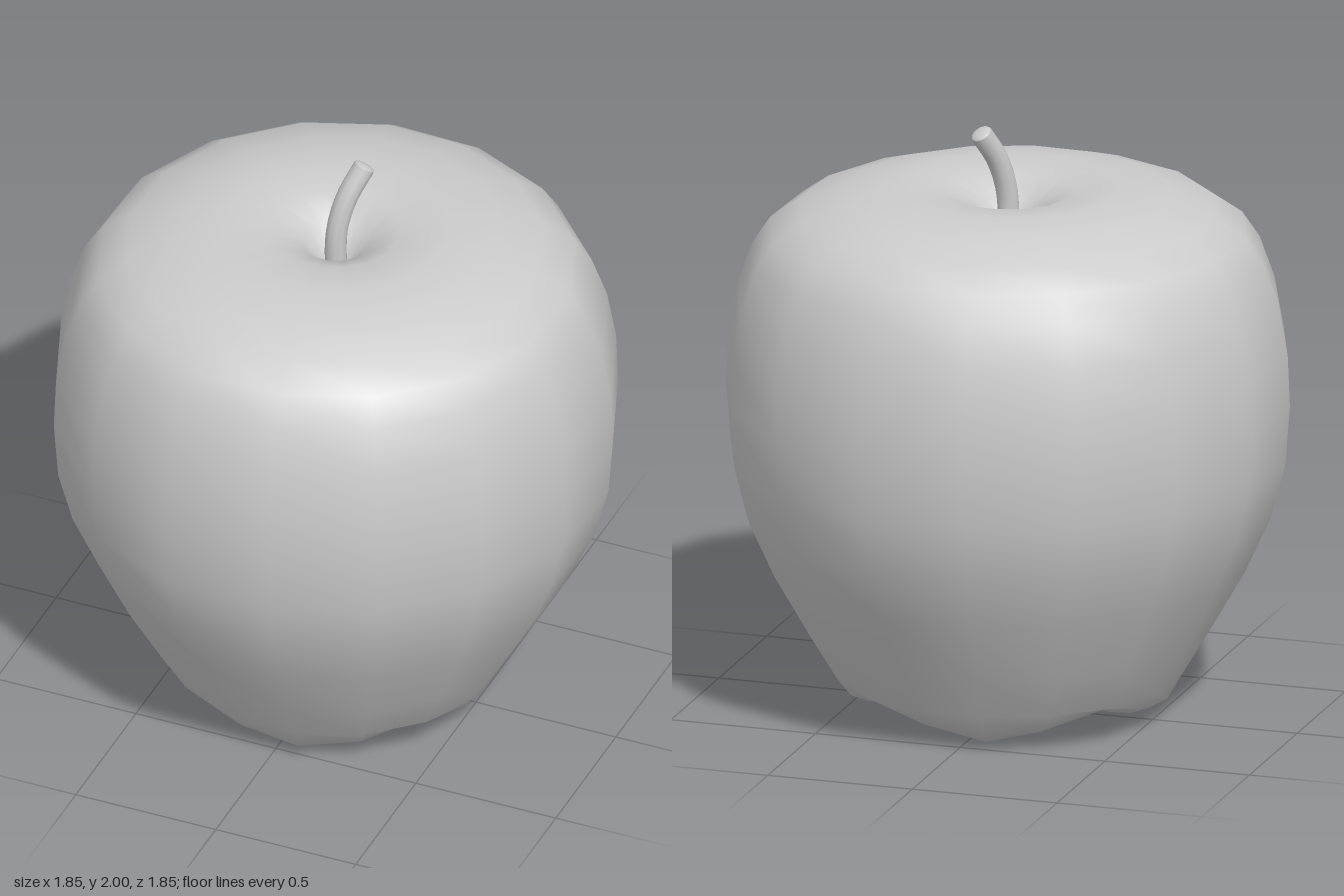
import * as THREE from 'three';
import { mergeVertices } from 'three/addons/utils/BufferGeometryUtils.js';

const material = () => new THREE.MeshStandardMaterial({ color: 0xcccccc });
const SIDES = 16;
const TURN = THREE.MathUtils.degToRad(9.3);

// Profile from the hollow under the fruit to the dimple on top: radius, height,
// and for the underside the height the row takes in the four valleys.
const PROFILE = [
  [0, 0.2, 0.2], [0.12, 0.13, 0.18], [0.22, 0.06, 0.15], [0.31, 0.02, 0.13],
  [0.39, 0, 0.115], [0.47, 0.015, 0.11], [0.53, 0.05, 0.115], [0.575, 0.13],
  [0.665, 0.28], [0.79, 0.5], [0.875, 0.69], [0.922, 0.87], [0.937, 1.07],
  [0.93, 1.24], [0.9, 1.41], [0.85, 1.55], [0.79, 1.64], [0.69, 1.71],
  [0.54, 1.76], [0.38, 1.785], [0.22, 1.768], [0.11, 1.715], [0.05, 1.63], [0, 1.59],
];

function createBody() {
  const points = PROFILE.map(([r, y]) => new THREE.Vector2(r, y));
  let geometry = new THREE.LatheGeometry(points, SIDES, TURN);

  // Raise the underside between the four lobes
  const pos = geometry.attributes.position;
  for (let i = 0; i < pos.count; i++) {
    const [, y, valleyY] = PROFILE[i % PROFILE.length];
    if (valleyY === undefined) continue;
    const angle = Math.atan2(pos.getX(i), pos.getZ(i)) - TURN;
    const valley = Math.pow(Math.abs(Math.sin(2 * angle)), 3);
    pos.setY(i, THREE.MathUtils.lerp(y, valleyY, valley));
  }

  // Weld the seam and poles so the shading is smooth all round
  geometry.deleteAttribute('uv');
  geometry.deleteAttribute('normal');
  geometry = mergeVertices(geometry, 1e-4);
  geometry.computeVertexNormals();
  const body = new THREE.Mesh(geometry, material());
  body.name = 'fruitBody';
  return body;
}

function createStem() {
  const stem = new THREE.Group();
  stem.name = 'stem';
  const curve = new THREE.CatmullRomCurve3([
    new THREE.Vector3(0, 1.58, 0),
    new THREE.Vector3(0.002, 1.76, -0.003),
    new THREE.Vector3(0.025, 1.88, -0.033),
    new THREE.Vector3(0.064, 1.978, -0.085),
  ]);
  const radius = 0.037;
  const stalk = new THREE.Mesh(new THREE.TubeGeometry(curve, 12, radius, 10), material());
  stalk.name = 'stalk';

  // Slightly domed end of the stalk
  const tip = new THREE.Mesh(new THREE.SphereGeometry(radius, 10, 4, 0, Math.PI * 2, 0, Math.PI / 2), material());
  tip.name = 'stalkTip';
  tip.scale.y = 0.3;
  tip.position.copy(curve.getPoint(1));
  tip.quaternion.setFromUnitVectors(new THREE.Vector3(0, 1, 0), curve.getTangent(1));
  stem.add(stalk, tip);
  return stem;
}

export function createModel() {
  const fruit = new THREE.Group();
  fruit.name = 'fruit';
  fruit.add(createBody(), createStem());
  return fruit;
}
